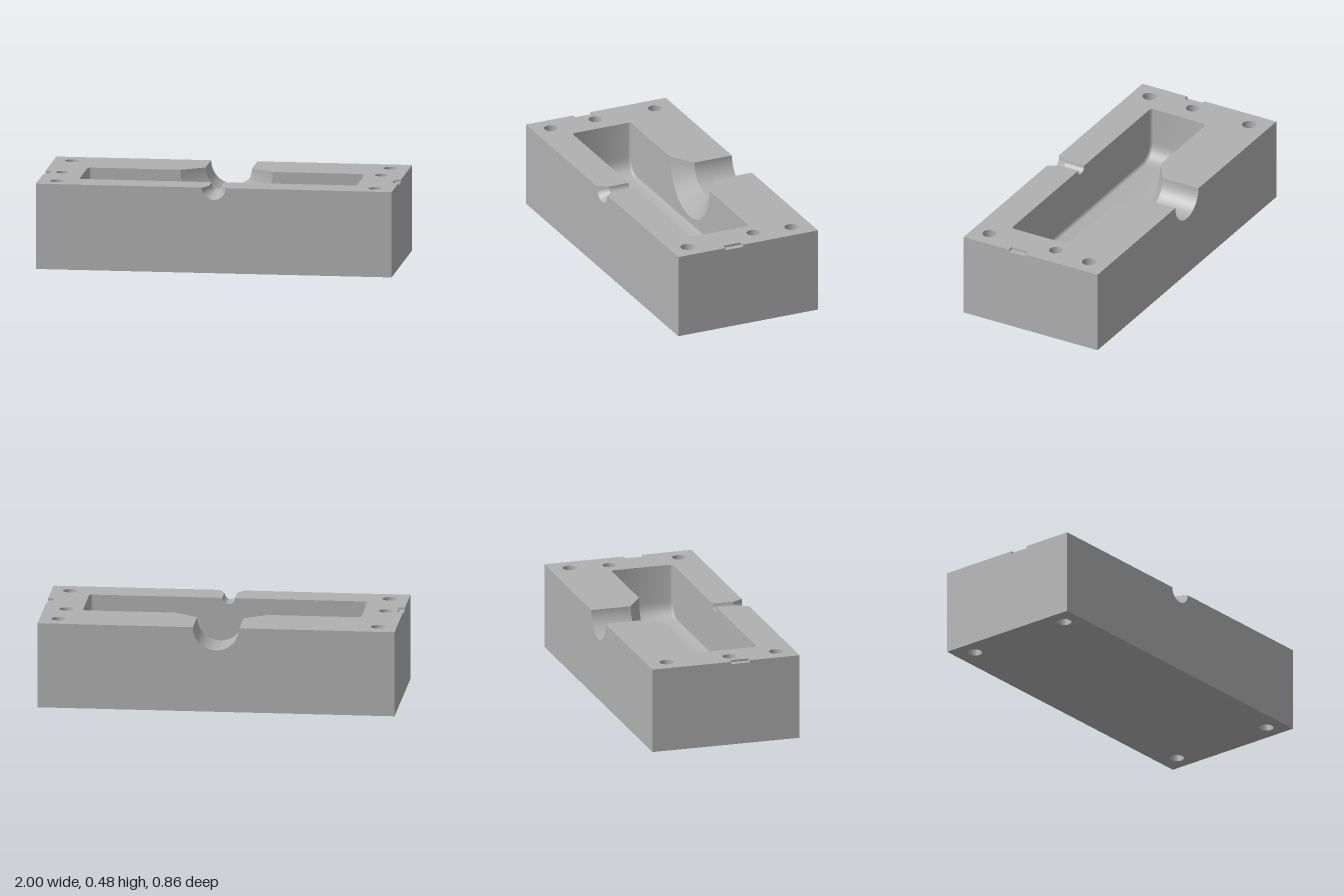
import * as THREE from 'three';
import { toCreasedNormals } from 'three/addons/utils/BufferGeometryUtils.js';

const H = 0.483, Z = 0.43;                               // block height, half depth
const CAV = { x: 0.78, back: -0.11, front: 0.25, floor: 0.17, bend: 0.1, edge: 0.02 };
const NECK = 0.13, FLARE = 0.26, VENT = 0.035, FUNNEL = 0.068;
const BOLTS = [-0.315, 0.325], BOLT_X = 0.895, HOLE_R = 0.04;
const SLOT = { x: 0.967, y: 0.47, z0: 0.032, z1: 0.14 };

const arc = (cx, cy, r, a0, a1, n = 8) => Array.from({ length: n + 1 }, (_, i) => {
  const a = a0 + (a1 - a0) * i / n;
  return [cx + r * Math.cos(a), cy + r * Math.sin(a)];
});
const shapeOf = pts => new THREE.Shape(pts.map(p => new THREE.Vector2(...p)));

// Surface through successive rows of 3D points
function loft(rows) {
  const n = rows[0].length, index = [];
  for (let r = 0; r < rows.length - 1; r++) {
    for (let i = 0; i < n - 1; i++) {
      const a = r * n + i, b = a + n;
      index.push(a, b, a + 1, b, b + 1, a + 1);
    }
  }
  const g = new THREE.BufferGeometry();
  g.setAttribute('position', new THREE.Float32BufferAttribute(rows.flat(2), 3));
  g.setIndex(index);
  return toCreasedNormals(g, 0.6);
}
const atZ = (pts, z) => pts.map(([x, y]) => [x, y, z]);
const atY = (pts, y) => pts.map(([x, z]) => [x, y, z]);
const halfRound = r => arc(0, H, r, Math.PI, 2 * Math.PI, 28);
const circle = (x, z, r) => arc(x, z, r, 0, 2 * Math.PI, 32);

// Cavity cross-section, open at the top, shrunk by an inset
function cavityProfile(inset) {
  const { x, floor, bend } = CAV, r = bend - inset;
  return [[-x + inset, H],
    ...arc(-x + bend, floor + bend, r, Math.PI, 1.5 * Math.PI),
    ...arc(x - bend, floor + bend, r, 1.5 * Math.PI, 2 * Math.PI),
    [x - inset, H]];
}

export function createModel() {
  const model = new THREE.Group();
  model.name = 'mouldHalf';
  const metal = new THREE.MeshStandardMaterial({ color: 0xb0b0b0, side: THREE.DoubleSide });
  metal.name = 'grey metal';
  const add = (name, geometry) => {
    const mesh = new THREE.Mesh(geometry, metal);
    mesh.name = name;
    model.add(mesh);
    return mesh;
  };
  // Flat face lying in a horizontal plane, points given as x, z
  const flat = (pts, y, holes = [], up = true) => {
    const s = shapeOf(pts.map(([x, z]) => [x, up ? -z : z]));
    s.holes = holes.map(h => shapeOf(h.map(([x, z]) => [x, up ? -z : z])));
    return new THREE.ShapeGeometry(s).rotateX(up ? -Math.PI / 2 : Math.PI / 2).translate(0, y, 0);
  };

  // Front and back walls with half-round openings
  const endWall = r => new THREE.ShapeGeometry(shapeOf([[-1, 0], [1, 0], [1, H], ...halfRound(r).reverse(), [-1, H]]));
  add('frontWall', endWall(FUNNEL).translate(0, 0, Z));
  add('backWall', endWall(NECK).rotateY(Math.PI).translate(0, 0, -Z));

  // Underside with the bolt holes
  const boltCircles = [-1, 1].flatMap(s => BOLTS.map(z => circle(s * BOLT_X, z, HOLE_R)));
  add('underside', flat([[-1, -Z], [1, -Z], [1, Z], [-1, Z]], 0, boltCircles, false));
  boltCircles.forEach(c => add('boltHole', loft([atY(c, H), atY(c, 0)])));

  const { x: cx, back, front, edge } = CAV;
  for (const s of [1, -1]) {
    const side = s > 0 ? 'left' : 'right';
    const flip = pts => pts.map(([x, z]) => [s * x, z]);

    // Parting face, one half on each side of the opening
    const outline = flip([[NECK, -Z], [NECK, -0.2], [FLARE, back],
      ...arc(cx - edge, back + edge, edge, -Math.PI / 2, 0, 5),
      ...arc(cx - edge, front - edge, edge, 0, Math.PI / 2, 5),
      [VENT, front], [VENT, 0.37], [FUNNEL, Z], [1, Z],
      [1, SLOT.z1], [SLOT.x, SLOT.z1], [SLOT.x, SLOT.z0], [1, SLOT.z0], [1, -Z]]);
    const dowel = s > 0 ? circle(0.875, -0.09, 0.038) : circle(-0.9, 0.05, 0.038);
    const bolts = BOLTS.map(z => circle(s * BOLT_X, z, HOLE_R));
    add(side + 'PartingFace', flat(outline, H, [...bolts, dowel]));

    // Blind dowel hole
    add(side + 'DowelHole', loft([atY(dowel, H), atY(dowel, H - 0.1)]));
    add(side + 'DowelFloor', flat(dowel, H - 0.1));

    // Side wall with the pry slot
    const wall = shapeOf([[-Z, 0], [Z, 0], [Z, H], [SLOT.z1, H], [SLOT.z1, SLOT.y],
      [SLOT.z0, SLOT.y], [SLOT.z0, H], [-Z, H]].map(([z, y]) => [-s * z, y]));
    add(side + 'SideWall', new THREE.ShapeGeometry(wall).rotateY(s * Math.PI / 2).translate(s, 0, 0));
    const slot = flip([[1, SLOT.z1], [SLOT.x, SLOT.z1], [SLOT.x, SLOT.z0], [1, SLOT.z0]]);
    const path = s > 0 ? slot : [...slot].reverse();
    add(side + 'PrySlotWalls', loft([atY(path, H), atY(path, SLOT.y)]));
    add(side + 'PrySlotFloor', flat(slot, SLOT.y));
  }

  // Cavity: rounded trough with softened front and back edges
  const rows = [];
  for (let i = 0; i <= 5; i++) {
    const a = i / 5 * Math.PI / 2;
    rows.push(atZ(cavityProfile(edge * (1 - Math.sin(a))), back + edge * (1 - Math.cos(a))));
  }
  for (let i = 5; i >= 0; i--) {
    const a = i / 5 * Math.PI / 2;
    rows.push(atZ(cavityProfile(edge * (1 - Math.sin(a))), front - edge * (1 - Math.cos(a))));
  }
  add('cavityTrough', loft(rows));
  const cavityEnd = r => new THREE.ShapeGeometry(shapeOf([...cavityProfile(edge), ...halfRound(r).reverse()]));
  add('cavityBackWall', cavityEnd(FLARE).translate(0, 0, back));
  add('cavityFrontWall', cavityEnd(VENT).rotateY(Math.PI).translate(0, 0, front));

  // Half-round channels: neck and flare at the back, vent and funnel at the front
  const channel = (name, r0, z0, r1, z1) => add(name, loft([atZ(halfRound(r0), z0), atZ(halfRound(r1), z1)]));
  channel('neckChannel', NECK, -Z, NECK, -0.2);
  channel('neckFlare', NECK, -0.2, FLARE, back);
  channel('ventChannel', VENT, front, VENT, 0.37);
  channel('ventFunnel', VENT, 0.37, FUNNEL, Z);
  return model;
}
